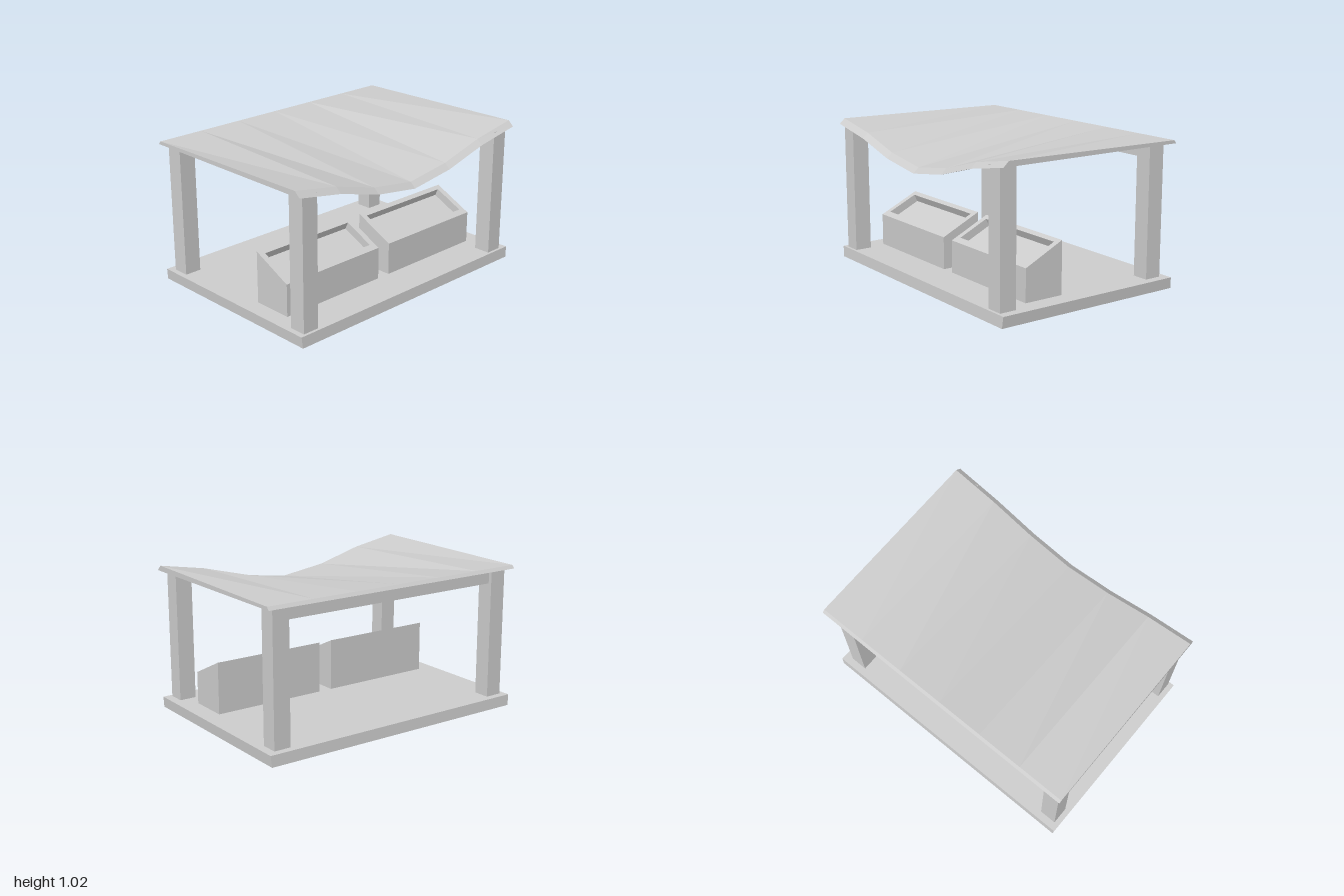
import * as THREE from 'three';

const material = new THREE.MeshStandardMaterial({ color: 0xcccccc, flatShading: true });

// Skin a series of four-cornered rings, capping the last and optionally the first.
function loft(rings, capStart = true) {
  const pos = [];
  const quad = (a, b, c, d) => pos.push(...a, ...b, ...c, ...a, ...c, ...d);
  for (let i = 0; i < rings.length - 1; i++) {
    for (let j = 0; j < 4; j++) {
      const k = (j + 1) % 4;
      quad(rings[i][j], rings[i][k], rings[i + 1][k], rings[i + 1][j]);
    }
  }
  if (capStart) quad(...[...rings[0]].reverse());
  quad(...rings[rings.length - 1]);
  const geo = new THREE.BufferGeometry();
  geo.setAttribute('position', new THREE.Float32BufferAttribute(pos, 3));
  geo.computeVertexNormals();
  return geo;
}

// Rectangular ring, with separate heights at its front and back edges.
const rect = (x0, x1, zFront, yFront, zBack, yBack) => [
  [x0, yFront, zFront], [x1, yFront, zFront], [x1, yBack, zBack], [x0, yBack, zBack],
];

export function createModel() {
  const group = new THREE.Group();
  const add = (name, geo, x = 0, y = 0, z = 0) => {
    const mesh = new THREE.Mesh(geo, material);
    mesh.name = name;
    mesh.position.set(x, y, z);
    group.add(mesh);
  };

  // Floor slab, very slightly tapered
  add('floorSlab', loft([
    rect(-0.993, 0.993, 0.7, 0, -0.7, 0),
    rect(-1, 1, 0.695, 0.077, -0.695, 0.077),
  ]));

  // Corner posts
  for (const [side, x] of [['right', -0.902], ['left', 0.88]]) {
    for (const [end, z] of [['Front', 0.615], ['Back', -0.585]]) {
      add(side + end + 'Post', new THREE.BoxGeometry(0.12, 0.905, 0.12), x, 0.5275, z);
    }
  }

  // Beam between the back posts
  add('backBeam', new THREE.BoxGeometry(1.68, 0.085, 0.07), -0.01, 0.9325, -0.585);

  // Display bins with a sloping top and a recessed tray
  for (const [name, x0, x1] of [['rightBin', -0.88, -0.055], ['leftBin', 0.045, 0.87]]) {
    const a = x0 + 0.042, b = x1 - 0.042;
    add(name, loft([
      rect(x0, x1, 0.428, 0.07, 0.142, 0.07),
      rect(x0, x1, 0.428, 0.303, 0.142, 0.44),
      rect(a, b, 0.385, 0.324, 0.175, 0.424),
      rect(a, b, 0.361, 0.273, 0.151, 0.373),
    ]));
  }

  // Roof: sagging front edge blending into a straight back edge
  const sag = [[-1, 0], [-0.665, 0.06], [-0.335, 0.152], [0, 0.2], [0.335, 0.152], [0.665, 0.06], [1, 0]];
  add('roof', loft(sag.map(([x, s]) => [
    [x, 0.988 - s, 0.695], [x, 0.988, -0.7], [x, 1.01, -0.682], [x, 1.025 - s, 0.655],
  ])));

  return group;
}
